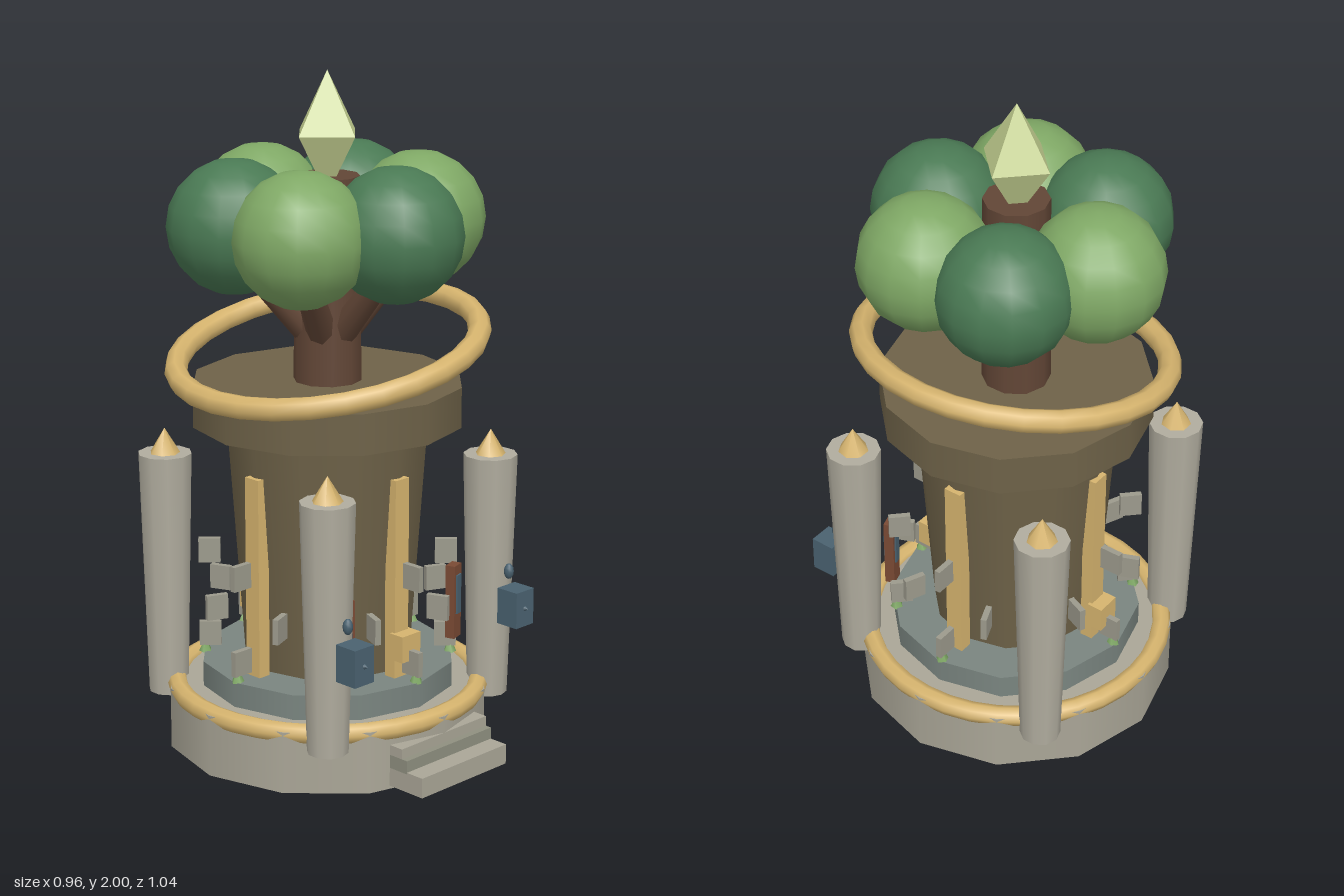
import * as THREE from 'three';

const mat = (color) => new THREE.MeshStandardMaterial({ color });
const M = {
  stone: mat(0xaaa697), pillar: mat(0xb0ac9e), paving: mat(0x7a8580), step: mat(0x8f9080),
  tower: mat(0x6e6248), gold: mat(0xd6b46e), bark: mat(0x624636), wood: mat(0x7a4a34),
  lightLeaf: mat(0x7fa865), darkLeaf: mat(0x4a7a54), crystal: mat(0xc6d292),
  slate: mat(0x4a6270), rubble: mat(0x9c9a8c),
};

export function createModel() {
  const model = new THREE.Group();
  model.name = 'treeTower';
  const body = new THREE.Group();
  body.name = 'body';
  body.position.z = -0.04;
  model.add(body);

  const add = (name, geometry, material, x = 0, y = 0, z = 0, ry = 0) => {
    const mesh = new THREE.Mesh(geometry, material);
    mesh.name = name;
    mesh.position.set(x, y, z);
    mesh.rotation.y = ry;
    body.add(mesh);
    return mesh;
  };
  const box = (w, h, d) => new THREE.BoxGeometry(w, h, d);
  // Cylinder given by its bottom and top heights
  const drum = (name, material, rTop, rBottom, y0, y1, sides, x = 0, z = 0) =>
    add(name, new THREE.CylinderGeometry(rTop, rBottom, y1 - y0, sides), material, x, (y0 + y1) / 2, z);
  // Places a geometry on a circle, turned to face outward
  const around = (name, geometry, material, radius, y, angle) =>
    add(name, geometry, material, radius * Math.sin(angle), y, radius * Math.cos(angle), angle);

  // Stepped base with its gold rim
  drum('base', M.stone, 0.48, 0.48, 0, 0.185, 12);
  drum('upperTier', M.paving, 0.38, 0.38, 0.18, 0.26, 12);
  add('baseRim', new THREE.TorusGeometry(0.45, 0.03, 8, 36).rotateX(Math.PI / 2), M.gold, 0, 0.175);

  // Entrance steps
  [[0.01, 0.07, 0.56, M.stone], [0.065, 0.105, 0.50, M.step], [0.1, 0.135, 0.48, M.stone]].forEach(
    ([y0, y1, front, m]) => add('step', box(0.355, y1 - y0, front - 0.36), m, 0, (y0 + y1) / 2, (front + 0.36) / 2));

  // Tower and its cap
  drum('tower', M.tower, 0.30, 0.25, 0.26, 0.98, 12);
  drum('towerCap', M.tower, 0.40, 0.40, 0.98, 1.10, 12);

  // Vertical gold strips on four sides, with a block low on the front and back
  for (let i = 0; i < 4; i++) {
    const a = i * Math.PI / 2;
    around('goldStrip', box(0.055, 0.60, 0.04), M.gold, 0.285, 0.56, a);
    if (i % 2 === 0) around('goldBlock', box(0.075, 0.08, 0.05), M.gold, 0.32, 0.36, a);
  }

  // Rings of thin standing stones and small shoots around the tower
  for (let i = 0; i < 8; i++) {
    const a = i * Math.PI / 4;
    const slab = box(0.018, 0.075, 0.065);
    around('upperSlab', slab, M.rubble, 0.35, 0.575, a);
    around('middleSlab', slab, M.rubble, 0.35, 0.445, a + Math.PI / 8);
    around('lowerSlab', slab, M.rubble, 0.35, 0.315, a);
    around('shoot', new THREE.ConeGeometry(0.02, 0.045, 5), M.lightLeaf, 0.365, 0.28, a);
  }

  // Corner pillars with gold points
  for (const sx of [-1, 1]) {
    for (const sz of [-1, 1]) {
      drum('pillar', M.pillar, 0.08, 0.06, 0.135, 0.875, 10, sx * 0.335, sz * 0.34);
      drum('pillarPoint', M.gold, 0, 0.045, 0.875, 0.95, 7, sx * 0.335, sz * 0.34);
    }
    // Hanging box and knobs on the front pillars
    add('hangingBox', box(0.075, 0.11, 0.075), M.slate, sx * 0.335, 0.43, 0.448);
    add('boxKnob', new THREE.ConeGeometry(0.01, 0.015, 6).rotateX(Math.PI / 2), M.slate, sx * 0.335, 0.43, 0.49);
    add('boxHook', new THREE.SphereGeometry(0.015, 8, 6), M.slate, sx * 0.335, 0.53, 0.42).scale.y = 1.6;

    // Narrow wooden panel with a slate inset, beside each front pillar
    add('panel', box(0.045, 0.225, 0.03), M.wood, sx * 0.225, 0.437, 0.30, sx * 0.3);
    add('panelInset', box(0.025, 0.12, 0.04), M.slate, sx * 0.225, 0.46, 0.30, sx * 0.3);
  }

  // Tilted floating ring
  const ring = add('floatingRing', new THREE.TorusGeometry(0.445, 0.034, 8, 28).rotateX(Math.PI / 2), M.gold, 0, 1.2);
  ring.rotation.z = 0.2;

  // Tree: trunk, six branches and six crowns in alternating greens
  drum('trunk', M.bark, 0.095, 0.1, 1.09, 1.70, 10);
  const up = new THREE.Vector3(0, 1, 0);
  for (let i = 0; i < 6; i++) {
    const a = i * Math.PI / 3;
    const dir = new THREE.Vector3(Math.sin(a), 0, Math.cos(a));
    const from = dir.clone().multiplyScalar(0.05).setY(1.24);
    const to = dir.clone().multiplyScalar(0.25).setY(1.47);
    const mid = from.clone().lerp(to, 0.5);
    const branch = add('branch', new THREE.CylinderGeometry(0.035, 0.045, from.distanceTo(to), 8),
      M.bark, mid.x, mid.y, mid.z);
    branch.quaternion.setFromUnitVectors(up, to.sub(from).normalize());
    around('crown', new THREE.SphereGeometry(0.195, 14, 10), i % 2 ? M.lightLeaf : M.darkLeaf, 0.272, 1.565, a);
  }

  // Crystal on top of the trunk
  add('crystal', new THREE.OctahedronGeometry(0.112), M.crystal, 0, 1.82).scale.y = 0.18 / 0.112;

  return model;
}
